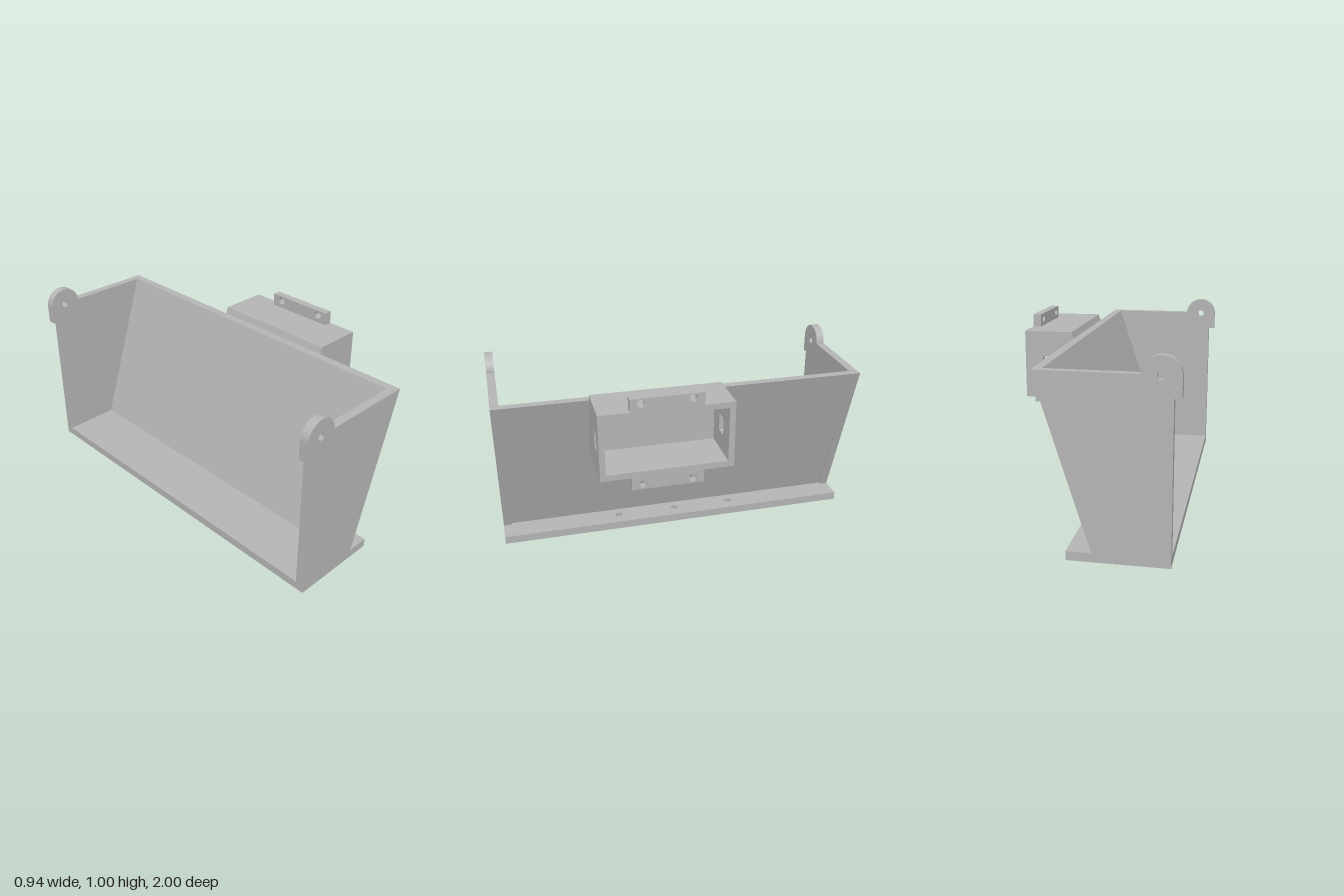
import * as THREE from 'three';

const grey = new THREE.MeshStandardMaterial({ color: 0xb4b4b4 });
grey.name = 'plain grey';

const T = 0.045; // plate thickness

// polygon with optional holes
function outline(points, holes = []) {
  const s = new THREE.Shape(points.map(p => new THREE.Vector2(...p)));
  s.holes.push(...holes);
  return s;
}

function roundHole(x, y, r) {
  const p = new THREE.Path();
  p.absarc(x, y, r, 0, Math.PI * 2, true);
  return p;
}

function rectPoints(x0, x1, y0, y1) {
  return [[x0, y0], [x1, y0], [x1, y1], [x0, y1]];
}

function extrude(shape, depth) {
  return new THREE.ExtrudeGeometry(shape, { depth, bevelEnabled: false, curveSegments: 24 });
}

export function createModel() {
  const group = new THREE.Group();
  const add = (name, geometry) => {
    const m = new THREE.Mesh(geometry, grey);
    m.name = name;
    group.add(m);
  };
  // front-view profile extruded from z0 to z1
  const slab = (name, shape, z0, z1) => add(name, extrude(shape, z1 - z0).translate(0, 0, z0));

  // end plates with rounded hinge ears
  const plate = new THREE.Shape();
  plate.moveTo(-0.44, 0);
  plate.lineTo(0.052, 0);
  plate.lineTo(0.052, T);
  plate.lineTo(-0.07, T);
  plate.lineTo(0.2, 0.897);
  plate.lineTo(-0.293, 0.897);
  plate.absarc(-0.384, 0.892, 0.091, 0.055, Math.PI, false);
  plate.lineTo(-0.475, 0.795);
  plate.lineTo(-0.44, 0.795);
  plate.holes.push(roundHole(-0.384, 0.892, 0.02));
  slab('leftEndPlate', plate, 1 - T, 1);
  slab('rightEndPlate', plate, -1, -1 + T);

  // floor with mounting lip and three screw holes
  const floor = outline(rectPoints(-0.44, 0.052, -1 + T, 1 - T),
    [-0.335, 0, 0.335].map(z => roundHole(-0.025, z, 0.02)));
  add('floor', extrude(floor, T).rotateX(-Math.PI / 2));

  // sloping wall
  slab('slopingWall', outline([[-0.13, T], [-0.085, T], [0.2, 0.897], [0.155, 0.897]]), -1 + T, 1 - T);

  // housing: side walls with offset windows, top, bottom and solid back
  const z0 = -0.195, z1 = 0.505, zi0 = -0.163, zi1 = 0.475;
  const front = 0.47, y0 = 0.567, y1 = 0.932, yi0 = 0.6, yi1 = 0.9;
  const side = [[0.09, y0], [front, y0], [front, y1], [0.212, y1], [0.2, 0.897]];
  const cutWindow = (a, b) => new THREE.Path(
    rectPoints(a, b, 0.7, 0.795).map(p => new THREE.Vector2(...p)));
  slab('housingLeftSide', outline(side, [cutWindow(0.328, 0.4)]), zi1, z1);
  slab('housingRightSide', outline(side, [cutWindow(0.298, 0.37)]), z0, zi0);
  // C-shaped section around the cavity
  slab('housingShell', outline([[0.09, y0], [front, y0], [front, yi0], [0.203, yi0],
    [0.203, yi1], [front, yi1], [front, y1], [0.212, y1], [0.2, 0.897]]), zi0, zi1);

  // screw tabs above and below the housing mouth
  for (const [name, a, b, hy] of [['topTab', y1, 1, 0.973], ['bottomTab', 0.497, y0, 0.526]]) {
    const tab = outline(rectPoints(-0.345, 0.035, a, b),
      [-0.29, -0.025].map(u => roundHole(u, hy, 0.021)));
    add(name, extrude(tab, 0.043).rotateY(Math.PI / 2).translate(0.427, 0, 0));
  }
  return group;
}
